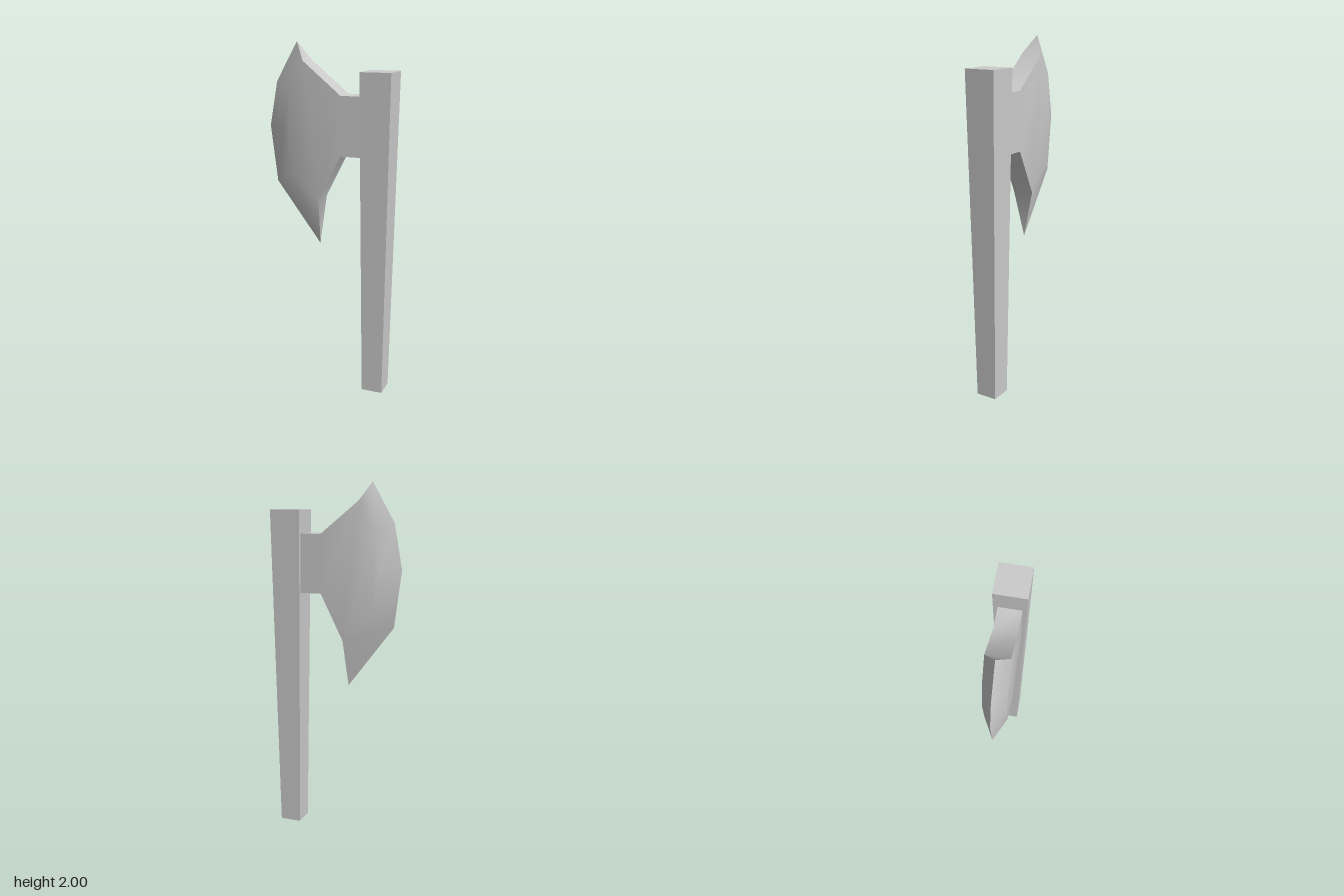
import * as THREE from 'three';
import { toCreasedNormals } from 'three/addons/utils/BufferGeometryUtils.js';

const material = new THREE.MeshStandardMaterial({ color: 0xcccccc });

// Square haft, wider at the top than at the foot
function makeHandle() {
  const height = 1.85, topHalf = 0.0875, footHalf = 0.061;
  const geometry = new THREE.BoxGeometry(2, height, 2).translate(0, height / 2, 0);
  const p = geometry.attributes.position;
  for (let i = 0; i < p.count; i++) {
    const half = THREE.MathUtils.lerp(footHalf, topHalf, p.getY(i) / height);
    p.setX(i, p.getX(i) * half);
    p.setZ(i, p.getZ(i) * half);
  }
  geometry.translate(0.2825, 0, 0);
  const mesh = new THREE.Mesh(toCreasedNormals(geometry, 0.5), material);
  mesh.name = 'handle';
  return mesh;
}

// Flat-sided axe head whose front and back bevel down to one cutting edge
function makeBlade() {
  const t = 0.062;
  // Outline of the flat cheek: neck and shoulder above, bevel line, shoulder and neck below
  const neckTop = [[0.22, 1.72], [0.08, 1.72]];
  const bevel = [[-0.14, 1.9], [-0.225, 1.73], [-0.257, 1.53], [-0.225, 1.28], [-0.05, 1.13]];
  const neckBottom = [[0.08, 1.39], [0.22, 1.39]];
  const edge = [[-0.2, 2], [-0.325, 1.78], [-0.37, 1.53], [-0.33, 1.21], [-0.065, 0.86]];
  const cheek = [...neckTop, ...bevel, ...neckBottom];

  const positions = [];
  const at = ([x, y], z) => [x, y, z];
  const tri = (a, b, c) => positions.push(...a, ...b, ...c);
  const quad = (a, b, c, d) => { tri(a, b, c); tri(a, c, d); };
  // Adds a counter-clockwise face to the front and its mirror to the back
  const bothSides = (...corners) => {
    const back = corners.map(([x, y, z]) => [x, y, -z]).reverse();
    const add = corners.length === 4 ? quad : tri;
    add(...corners);
    add(...back);
  };

  // Cheeks, as strips joining the upper and lower outline
  const last = cheek.length - 1;
  for (let i = 0; i < 3; i++) {
    bothSides(at(cheek[i], t), at(cheek[i + 1], t), at(cheek[last - i - 1], t), at(cheek[last - i], t));
  }
  bothSides(at(cheek[3], t), at(cheek[4], t), at(cheek[5], t));

  // Bevels
  for (let i = 0; i < 4; i++) {
    bothSides(at(bevel[i], t), at(edge[i], 0), at(edge[i + 1], 0), at(bevel[i + 1], t));
  }

  // Upper and lower rims, each ending in a pointed tip
  const rim = (p, q) => quad(at(p, t), at(p, -t), at(q, -t), at(q, t));
  for (const i of [0, 1, 6, 7, 8]) rim(cheek[i], cheek[(i + 1) % cheek.length]);
  tri(at(bevel[0], t), at(bevel[0], -t), at(edge[0], 0));
  tri(at(edge[4], 0), at(bevel[4], -t), at(bevel[4], t));

  const geometry = new THREE.BufferGeometry();
  geometry.setAttribute('position', new THREE.Float32BufferAttribute(positions, 3));
  const mesh = new THREE.Mesh(toCreasedNormals(geometry, 0.75), material);
  mesh.name = 'blade';
  return mesh;
}

export function createModel() {
  const group = new THREE.Group();
  group.name = 'axe';
  group.add(makeHandle(), makeBlade());
  return group;
}
